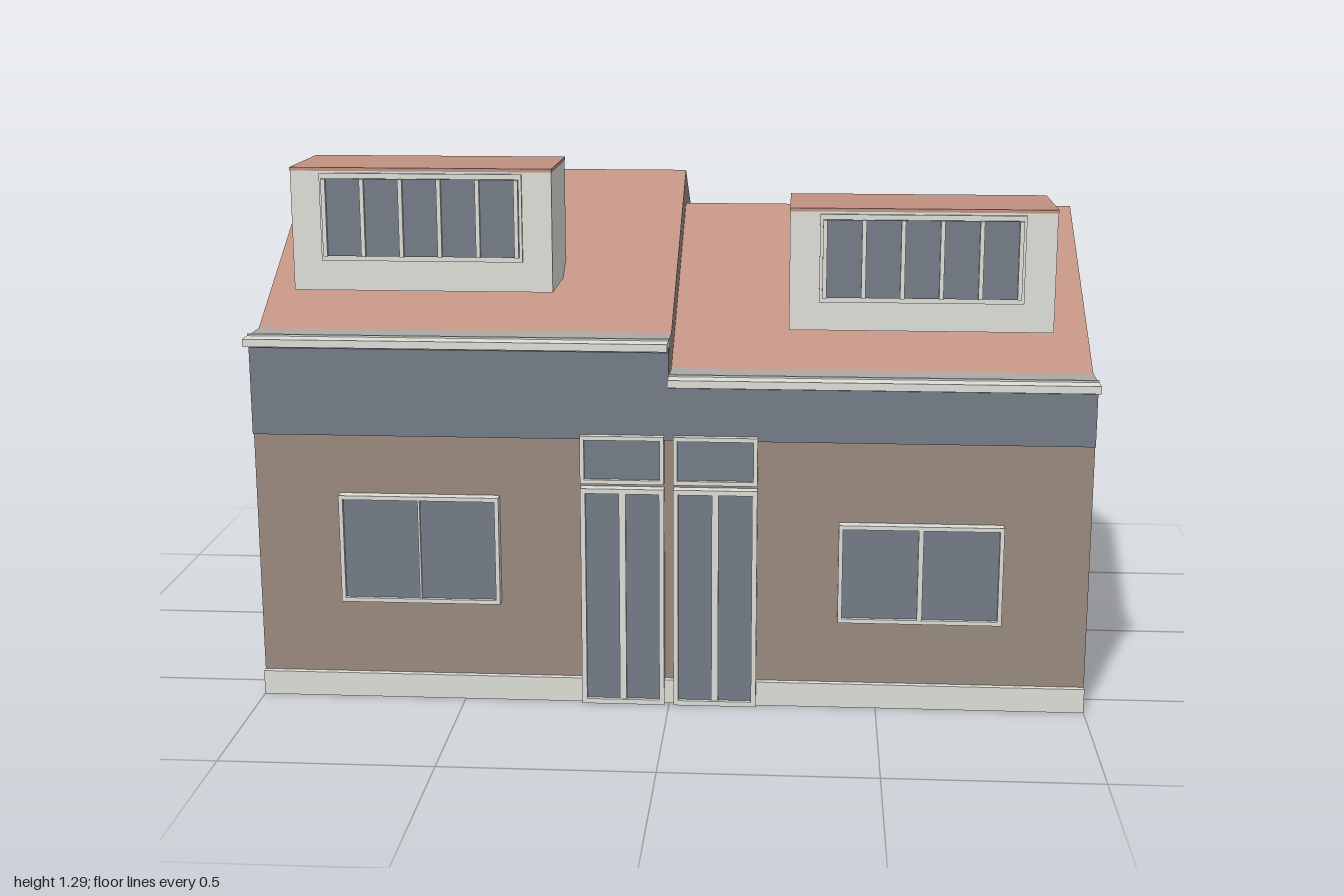
import * as THREE from 'three';

const mat = (name, color) => new THREE.MeshStandardMaterial({ name, color });

export function createModel() {
  const group = new THREE.Group();
  group.name = 'semiDetachedHouses';

  const wall = mat('brick', 0x9a8a7e);
  const roof = mat('roofTile', 0xbf9181);
  const white = mat('whiteTrim', 0xdedfd8);
  const glass = mat('slateGlass', 0x747c87);
  const lead = mat('greyFlatRoof', 0xaca8a4);

  // Box from its minimum and maximum corners
  function box(parent, name, material, x0, x1, y0, y1, z0, z1) {
    const m = new THREE.Mesh(new THREE.BoxGeometry(x1 - x0, y1 - y0, z1 - z0), material);
    m.position.set((x0 + x1) / 2, (y0 + y1) / 2, (z0 + z1) / 2);
    m.name = name;
    parent.add(m);
    return m;
  }

  // Side profile of [z, y] points extruded from x0 to x1
  function profile(parent, name, material, points, x0, x1) {
    const shape = new THREE.Shape(points.map(([z, y]) => new THREE.Vector2(z, y)));
    const geo = new THREE.ExtrudeGeometry(shape, { depth: x1 - x0, bevelEnabled: false });
    geo.rotateY(-Math.PI / 2);
    geo.translate(x1, 0, 0);
    const m = new THREE.Mesh(geo, material);
    m.name = name;
    parent.add(m);
  }

  // Rectangular ring frame facing +z
  function frame(parent, name, x0, x1, y0, y1, z0, z1, t) {
    box(parent, name + 'Bottom', white, x0, x1, y0, y0 + t, z0, z1);
    box(parent, name + 'Top', white, x0, x1, y1 - t, y1, z0, z1);
    box(parent, name + 'Left', white, x0, x0 + t, y0 + t, y1 - t, z0, z1);
    box(parent, name + 'Right', white, x1 - t, x1, y0 + t, y1 - t, z0, z1);
  }

  // Framed front window with evenly spaced mullions
  function frontWindow(name, x0, x1, y0, y1, panes, bar, t = 0.01) {
    const g = new THREE.Group();
    g.name = name;
    frame(g, 'frame', x0, x1, y0, y1, 0.57, 0.602, t);
    box(g, 'glass', glass, x0 + t, x1 - t, y0 + t, y1 - t, 0.57, 0.592);
    for (let i = 1; i < panes; i++) {
      const x = x0 + ((x1 - x0) * i) / panes;
      box(g, 'mullion', white, x - bar / 2, x + bar / 2, y0 + t, y1 - t, 0.58, 0.599);
    }
    group.add(g);
  }

  const F = 0.575, B = -0.625, R = -0.065, K = 0.49, T = 0.004;

  function house(name, x0, x1, eave, ridge, dormer) {
    const g = new THREE.Group();
    g.name = name;
    // Walls with gables
    profile(g, 'walls', wall, [[F, 0], [F, eave - T], [K, eave - T], [R, ridge - T], [B, eave - T], [B, 0]], x0, x1);
    // Roof covering
    profile(g, 'pitchedRoof', roof,
      [[K, eave - T], [K, eave], [R, ridge], [B, eave], [B, eave - T], [R, ridge - T]], x0, x1);
    box(g, 'flatEave', lead, x0, x1, eave - T, eave, K, F);
    // Fascia and gutter
    box(g, 'fascia', glass, x0, x1, 0.66, eave - 0.028, F - 0.005, 0.585);
    box(g, 'gutter', white, x0, x1, eave - 0.016, eave + 0.002, F, 0.635);
    box(g, 'gutterBoard', white, x0, x1, eave - 0.024, eave + 0.006, 0.584, 0.593);

    // Dormer
    const d = new THREE.Group();
    d.name = 'dormer';
    const [dx0, dx1, y0, y1, wx0, wx1, wy0, wy1] = dormer;
    box(d, 'dormerBody', white, dx0, dx1, y0, y1 - 0.008, 0.255, 0.515);
    box(d, 'dormerRoof', roof, dx0 - 0.001, dx1 + 0.001, y1 - 0.008, y1, 0.254, 0.518);
    box(d, 'dormerFrame', white, wx0, wx1, wy0, wy1, 0.51, 0.522);
    const t = 0.012, a = wx0 + t, b = wx1 - t;
    box(d, 'dormerGlass', glass, a, b, wy0 + t, wy1 - t, 0.52, 0.527);
    for (let i = 0; i <= 5; i++) {
      const x = a + ((b - a) * i) / 5;
      box(d, 'dormerMullion', white, x - 0.005, x + 0.005, wy0 + t, wy1 - t, 0.52, 0.536);
    }
    g.add(d);
    group.add(g);
  }

  house('rightHouse', -1, 0, 0.9, 1.225, [-0.9, -0.28, 1.0, 1.293, -0.83, -0.35, 1.072, 1.28]);
  house('leftHouse', 0, 1, 0.815, 1.138, [0.28, 0.9, 0.917, 1.207, 0.35, 0.828, 0.985, 1.193]);

  // Plinth along the front
  box(group, 'plinth', white, -1, 1, 0, 0.06, F - 0.005, 0.59);

  // Ground floor windows
  frontWindow('rightWindow', -0.795, -0.408, 0.248, 0.515, 2, 0.005);
  frontWindow('leftWindow', 0.405, 0.795, 0.22, 0.463, 2, 0.012);

  // Paired front doors with transom lights
  for (const [side, x0] of [['right', -0.211], ['left', 0.011]]) {
    frontWindow(side + 'Door', x0, x0 + 0.2, 0, 0.543, 2, 0.016, 0.012);
    frontWindow(side + 'Transom', x0, x0 + 0.2, 0.555, 0.672, 1, 0, 0.01);
  }

  // Back windows
  for (const x of [-0.82, -0.22, 0.525, 0.82]) {
    const g = new THREE.Group();
    g.name = 'backWindow';
    box(g, 'backFrame', white, x - 0.122, x + 0.122, 0.165, 0.555, -0.63, -0.62);
    box(g, 'backGlass', glass, x - 0.106, x + 0.106, 0.18, 0.54, -0.634, -0.625);
    group.add(g);
  }

  return group;
}
